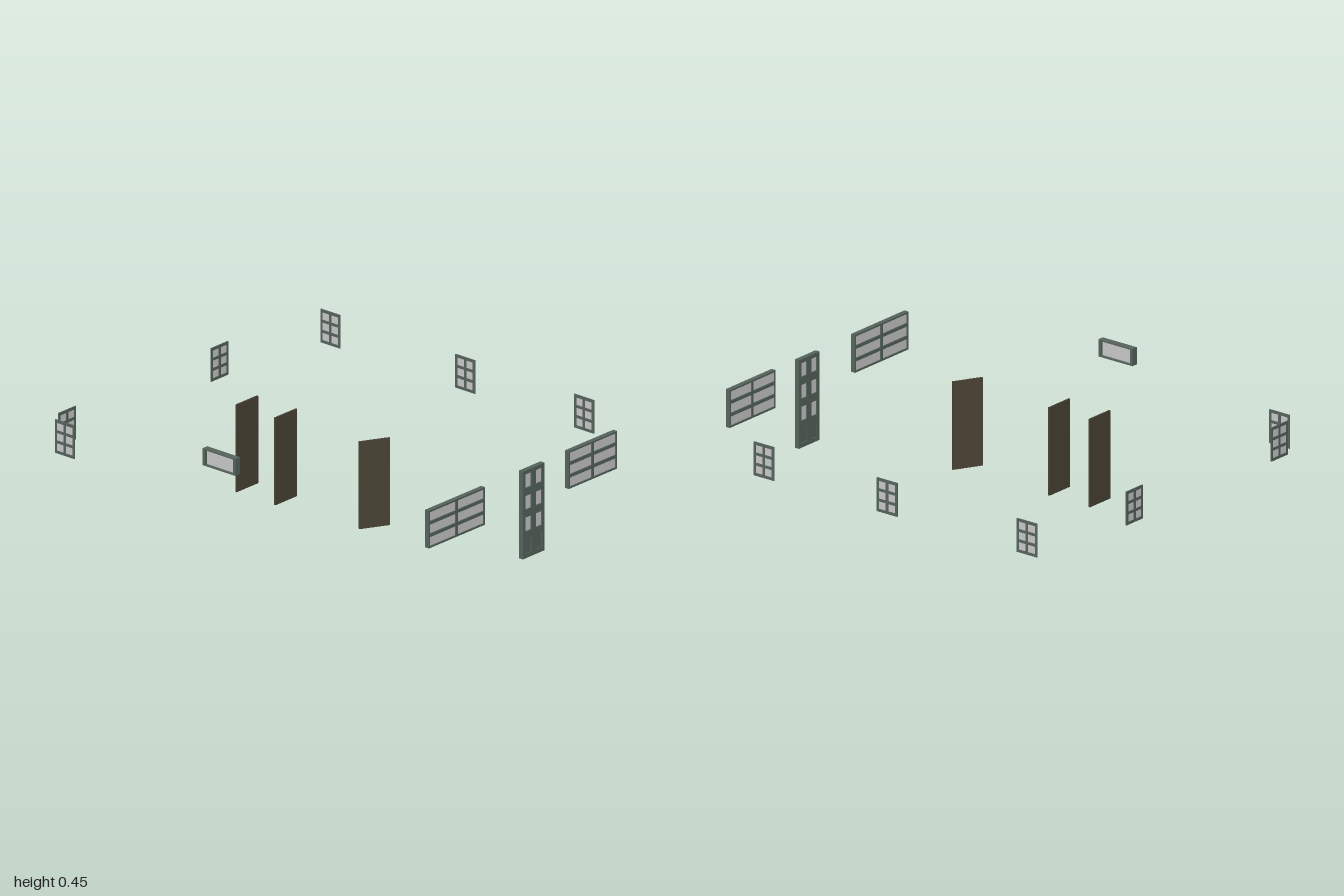
import * as THREE from 'three';

const mat = (name, color) => {
  const m = new THREE.MeshStandardMaterial({ color });
  m.name = name;
  return m;
};

// Evenly spaced openings across a length: [start, end] pairs
function openings(length, count, border, bar) {
  const size = (length - 2 * border - (count - 1) * bar) / count;
  return Array.from({ length: count }, (_, i) => {
    const a = border + i * (size + bar);
    return [a, a + size];
  });
}

export function createModel() {
  const model = new THREE.Group();
  const green = mat('painted green frame', 0x56645c);
  const glass = mat('pale glass', 0xc9c9c9);
  const wood = mat('dark brown wood', 0x4b4436);

  function box(parent, name, size, pos, material) {
    const mesh = new THREE.Mesh(new THREE.BoxGeometry(...size), material);
    mesh.name = name;
    mesh.position.set(...pos);
    parent.add(mesh);
    return mesh;
  }

  // Frame pierced by a grid of openings, centred on x and z, standing on y = 0
  function frame(w, h, d, xs, ys) {
    const shape = new THREE.Shape();
    shape.moveTo(0, 0).lineTo(w, 0).lineTo(w, h).lineTo(0, h).closePath();
    for (const [x0, x1] of xs) for (const [y0, y1] of ys) {
      const hole = new THREE.Path();
      hole.moveTo(x0, y0).lineTo(x0, y1).lineTo(x1, y1).lineTo(x1, y0).closePath();
      shape.holes.push(hole);
    }
    const geo = new THREE.ExtrudeGeometry(shape, { depth: d, bevelEnabled: false });
    geo.translate(-w / 2, 0, -d / 2);
    const mesh = new THREE.Mesh(geo, green);
    mesh.name = 'frame';
    return mesh;
  }

  function windowUnit(name, [w, h, d], xs, ys, glassDepth, pos, turn = 0) {
    const unit = new THREE.Group();
    unit.name = name;
    unit.add(frame(w, h, d, xs, ys));
    box(unit, 'glass', [w - 0.004, h - 0.004, glassDepth], [0, h / 2, 0], glass);
    unit.position.set(...pos);
    unit.rotation.y = turn;
    model.add(unit);
  }

  // Wide front windows, two columns of three panes
  for (const [name, x0, x1] of [['wideWindowRight', -0.656, -0.297], ['wideWindowLeft', 0.237, 0.546]]) {
    const w = x1 - x0, h = 0.172;
    windowUnit(name, [w, h, 0.022], openings(w, 2, 0.007, 0.013), openings(h, 3, 0.008, 0.015),
      0.012, [(x0 + x1) / 2, 0.233, 0.987]);
  }

  // Small six-pane windows on the back and sides
  const q = Math.PI / 2;
  const small = [
    ['backWindowRight', -0.722, -0.997, 0],
    ['backWindowLeft', 0.252, -0.997, 0],
    ['leftWindowFront', 0.84, 0.55, q],
    ['leftWindowMiddle', 0.84, -0.124, q],
    ['leftWindowBack', 0.84, -0.889, q],
    ['rightWindowBack', -0.836, -0.907, q],
  ];
  for (const [name, x, z, turn] of small) {
    windowUnit(name, [0.111, 0.153, 0.005], openings(0.111, 2, 0.012, 0.013),
      openings(0.153, 3, 0.013, 0.013), 0.002, [x, 0.197, z], turn);
  }

  // High single-pane window on the right side
  windowUnit('highWindow', [0.186, 0.078, 0.03], [[0.014, 0.172]], [[0.006, 0.072]],
    0.006, [-0.833, 0.372, -0.023], q);

  // Front door: three rows of glass above a recessed solid row
  const door = new THREE.Group();
  door.name = 'frontDoor';
  const rows = [[0.02, 0.09], [0.122, 0.186], [0.222, 0.285], [0.321, 0.384]];
  door.add(frame(0.138, 0.402, 0.022, [[0.016, 0.055], [0.083, 0.122]], rows));
  box(door, 'lowerPanel', [0.13, 0.1, 0.014], [0, 0.055, 0], green);
  box(door, 'glass', [0.13, 0.285, 0.012], [0, 0.252, 0], glass);
  door.position.set(0.012, 0, 0.987);
  model.add(door);

  // Plain inner doors, one standing ajar
  const inner = [
    ['innerDoorBack', -0.229, -0.415, 0],
    ['innerDoorMiddle', -0.229, -0.195, 0],
    ['innerDoorAjar', -0.2, 0.283, -Math.atan2(0.065, 0.12)],
  ];
  for (const [name, x, z, turn] of inner) {
    box(model, name, [0.138, 0.4, 0.008], [x, 0.2, z], wood).rotation.y = turn;
  }

  return model;
}
